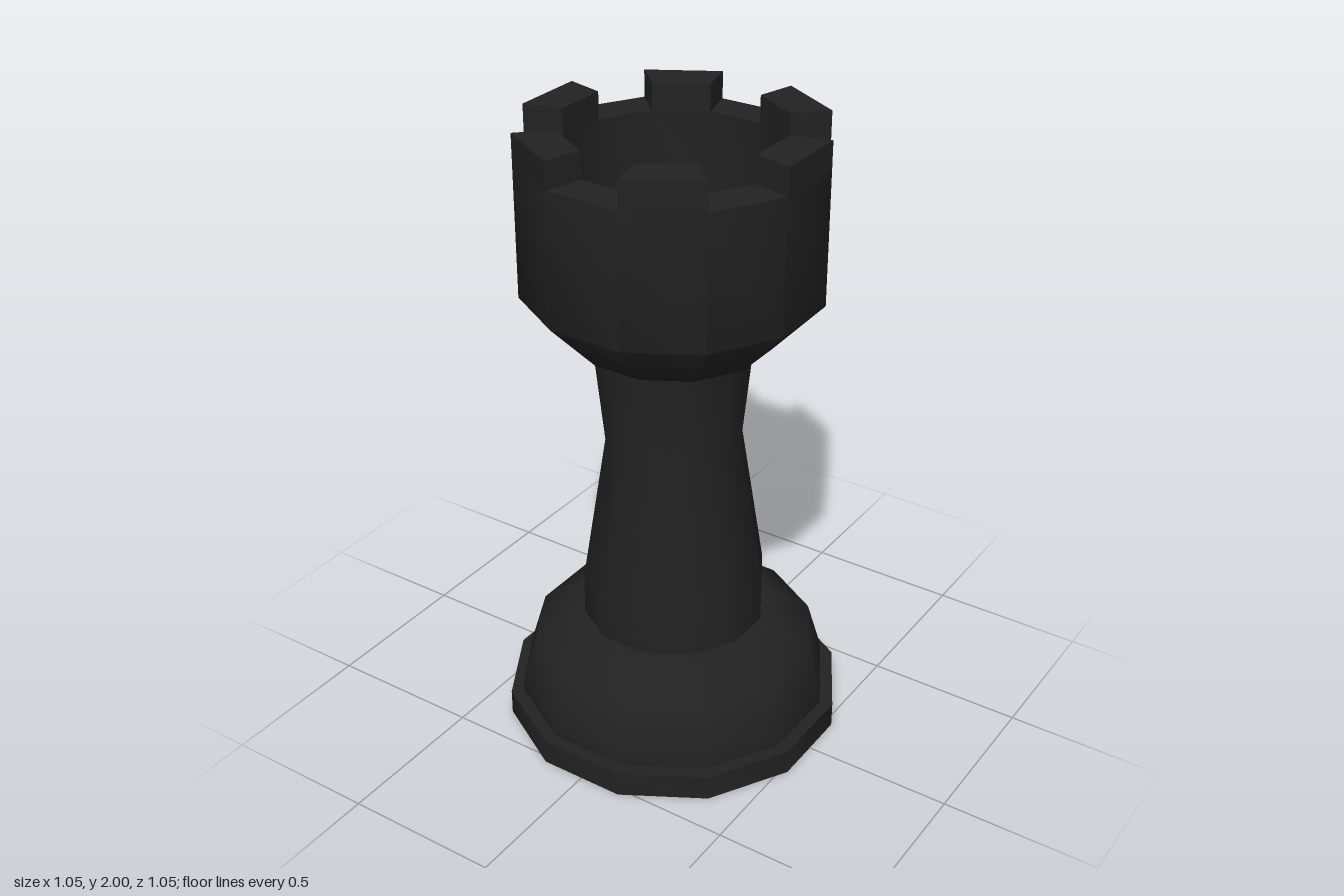
import * as THREE from 'three';
import { toCreasedNormals } from 'three/addons/utils/BufferGeometryUtils.js';

const SIDES = 12;
const STEP = (Math.PI * 2) / SIDES;
const CREASE = THREE.MathUtils.degToRad(47);
const TO_CORNER = 1 / Math.cos(STEP / 2); // flat radius -> corner radius

const material = new THREE.MeshStandardMaterial({ color: 0x222222 });

// Twelve-sided turned part; profile is [flat radius, height] from bottom to top
function turned(name, profile) {
  const points = profile.map(([r, y]) => new THREE.Vector2(r * TO_CORNER, y));
  const geometry = new THREE.LatheGeometry(points, SIDES, STEP / 2);
  geometry.deleteAttribute('uv');
  geometry.deleteAttribute('normal');
  const mesh = new THREE.Mesh(toCreasedNormals(geometry, CREASE), material);
  mesh.name = name;
  return mesh;
}

export function createModel() {
  const group = new THREE.Group();
  group.name = 'rook';

  const outer = 0.442, inner = 0.323, rimY = 1.915, topY = 2;

  // Stepped foot with a rounded shoulder
  group.add(turned('base', [
    [0, 0], [0.523, 0], [0.523, 0.083], [0.482, 0.083], [0.482, 0.127],
    [0.437, 0.285], [0.318, 0.368], [0.281, 0.368],
  ]));

  // Waisted column
  group.add(turned('shaft', [
    [0.281, 0.368], [0.281, 0.507], [0.206, 1.0], [0.239, 1.336],
  ]));

  // Hollow tower head
  group.add(turned('head', [
    [0.239, 1.336], [0.292, 1.336], [outer, 1.5], [outer, rimY],
    [inner, rimY], [inner, 1.5], [0, 1.5],
  ]));

  // One battlement block on every second side of the rim
  const half = Math.tan(STEP / 2);
  const outline = new THREE.Shape([
    new THREE.Vector2(inner, -inner * half),
    new THREE.Vector2(outer, -outer * half),
    new THREE.Vector2(outer, outer * half),
    new THREE.Vector2(inner, inner * half),
  ]);
  const block = new THREE.ExtrudeGeometry(outline, { depth: topY - rimY, bevelEnabled: false });
  block.rotateX(-Math.PI / 2);
  const battlements = new THREE.Group();
  battlements.name = 'battlements';
  for (let i = 0; i < SIDES; i += 2) {
    const merlon = new THREE.Mesh(block, material);
    merlon.name = 'merlon';
    merlon.position.y = rimY;
    merlon.rotation.y = i * STEP;
    battlements.add(merlon);
  }
  group.add(battlements);

  return group;
}
